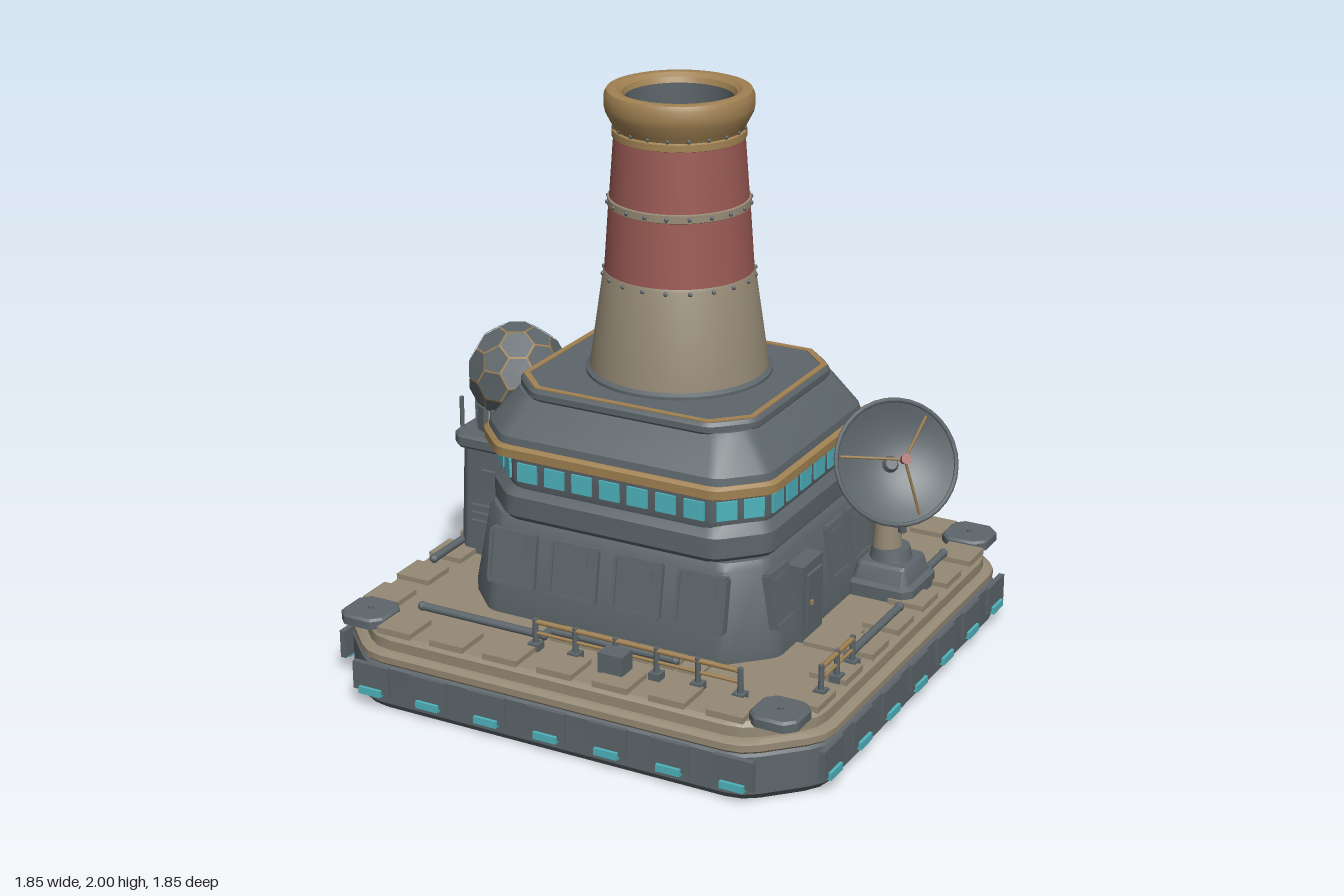
import * as THREE from 'three';
import { toCreasedNormals } from 'three/addons/utils/BufferGeometryUtils.js';

const mat = (name, color) => Object.assign(new THREE.MeshStandardMaterial({ color }), { name });

export function createModel() {
  const root = new THREE.Group();
  root.name = 'chimneyStation';
  const grey = mat('slateGrey', 0x5d666b), tan = mat('concreteTan', 0x968a75);
  const red = mat('fadedRed', 0x9b5a54), ochre = mat('ochreTrim', 0xa08152), cyan = mat('cyanGlass', 0x4fb4be);
  const dishGrey = mat('dishGrey', 0x5d666b);
  dishGrey.side = THREE.DoubleSide;

  const V = (x, y, z) => new THREE.Vector3(x, y, z);
  const add = (name, geo, m, x = 0, y = 0, z = 0, parent = root) => {
    const mesh = new THREE.Mesh(geo, m);
    mesh.name = name;
    mesh.position.set(x, y, z);
    parent.add(mesh);
    return mesh;
  };
  const box = (name, m, w, h, d, x, y, z, parent) => add(name, new THREE.BoxGeometry(w, h, d), m, x, y, z, parent);
  const cyl = (name, m, r0, r1, h, x, y, z, n = 16, parent = root) =>
    add(name, new THREE.CylinderGeometry(r1, r0, h, n), m, x, y + h / 2, z, parent);
  const lathe = (name, m, pts, n = 48) => add(name, toCreasedNormals(
    new THREE.LatheGeometry(pts.map(p => new THREE.Vector2(...p)), n), 0.5), m);
  // straight rod between two points
  const rod = (name, m, a, b, r, n = 8, parent = root) => {
    const d = b.clone().sub(a), mid = a.clone().add(b).multiplyScalar(0.5);
    const mesh = add(name, new THREE.CylinderGeometry(r, r, d.length(), n), m, mid.x, mid.y, mid.z, parent);
    mesh.quaternion.setFromUnitVectors(V(0, 1, 0), d.normalize());
    return mesh;
  };
  const pipe = (name, pts, r = 0.014) => {
    for (let i = 0; i + 1 < pts.length; i++) {
      rod(name, grey, V(...pts[i]), V(...pts[i + 1]), r, 10);
    }
    pts.forEach(p => add(name + 'Joint', new THREE.SphereGeometry(r * 1.15, 10, 6), grey, ...p));
  };

  // rectangle with cut, slightly softened corners
  const ring = (hx, hz, c, soft) => {
    const p = [[hx, -hz + c], [hx, hz - c], [hx - c, hz], [-hx + c, hz], [-hx, hz - c], [-hx, -hz + c], [-hx + c, -hz], [hx - c, -hz]]
      .map(q => new THREE.Vector2(...q));
    return p.flatMap((v, i) => {
      const a = p[(i + 7) % 8].clone().sub(v).setLength(soft).add(v);
      const b = p[(i + 1) % 8].clone().sub(v).setLength(soft).add(v);
      return [a, a.clone().add(b).multiplyScalar(0.25).addScaledVector(v, 0.5), b];
    });
  };
  // stacked rings: profile rows are [height, inset]
  const loft = (name, m, profile, hx, hz, c, x = 0, z = 0, soft = 0.03) => {
    const rows = profile.map(([y, d]) => ring(hx - d, hz - d, c - d * 0.586, soft).map(q => V(q.x, y, q.y)));
    const pos = [], tri = (...t) => t.forEach(v => pos.push(v.x, v.y, v.z));
    const last = rows.length - 1, n = rows[0].length;
    for (let i = 0; i < n; i++) {
      const j = (i + 1) % n;
      for (let k = 0; k < last; k++) {
        const [a, b, d, e] = [rows[k][i], rows[k][j], rows[k + 1][i], rows[k + 1][j]];
        tri(a, d, b);
        tri(b, d, e);
      }
      tri(V(0, profile[0][0], 0), rows[0][i], rows[0][j]);
      tri(V(0, profile[last][0], 0), rows[last][j], rows[last][i]);
    }
    const g = new THREE.BufferGeometry();
    g.setAttribute('position', new THREE.Float32BufferAttribute(pos, 3));
    return add(name, toCreasedNormals(g, 0.5), m, x, 0, z);
  };

  // platform
  loft('platformHull', grey, [[0, 0.02], [0.025, 0], [0.155, 0], [0.165, 0.012]], 0.9, 0.9, 0.2, 0, 0, 0.06);
  loft('platformRim', tan, [[0.163, 0.01], [0.172, 0.002], [0.195, 0.002], [0.205, 0.02]], 0.9, 0.9, 0.2, 0, 0, 0.06);
  loft('platformDeck', tan, [[0.2, 0.035], [0.24, 0.035], [0.255, 0.05]], 0.9, 0.9, 0.2, 0, 0, 0.06);
  for (let s = 0; s < 4; s++) {
    const side = new THREE.Group();
    side.name = 'platformSide';
    side.rotation.y = s * Math.PI / 2;
    root.add(side);
    for (let i = -3; i <= 3; i++) {
      box('hullBlock', grey, 0.14, 0.1, 0.02, i * 0.225, 0.108, 0.902, side);
      box('hullLight', cyan, 0.085, 0.025, 0.03, i * 0.225, 0.062, 0.908, side);
      box('deckPad', tan, 0.13, 0.022, 0.13, i * 0.205, 0.262, 0.79, side);
    }
  }
  for (const x of [-0.765, 0.765]) for (const z of [-0.765, 0.765]) {
    loft('cornerPlate', grey, [[0.25, 0], [0.278, 0], [0.286, 0.008]], 0.085, 0.085, 0.035, x, z, 0.005);
    cyl('cornerBolt', grey, 0.01, 0.01, 0.01, x, 0.284, z, 8);
  }

  // main building, bottom to top
  const bz = 0.025;
  loft('lowerWalls', grey, [[0.25, 0], [0.29, 0], [0.56, 0.045], [0.585, 0.06]], 0.58, 0.51, 0.14, 0, bz);
  loft('middleBand', grey, [[0.58, 0.02], [0.6, 0.003], [0.67, 0.003], [0.705, 0.03]], 0.53, 0.47, 0.14, 0, bz);
  loft('windowBand', grey, [[0.69, 0.01], [0.72, 0], [0.82, 0]], 0.51, 0.455, 0.14, 0, bz);
  loft('ochreLedge', ochre, [[0.812, 0.015], [0.82, 0], [0.85, 0], [0.86, 0.012]], 0.548, 0.495, 0.14, 0, bz);
  loft('upperSlope', grey, [[0.855, 0.015], [0.885, 0.02], [0.985, 0.1], [1, 0.115]], 0.548, 0.495, 0.14, 0, bz);
  loft('roofSlab', grey, [[0.99, 0.008], [1, 0], [1.02, 0], [1.032, 0.008]], 0.445, 0.395, 0.115, 0, bz);
  const trim = new THREE.Shape(ring(0.433, 0.383, 0.11, 0.004));
  trim.holes.push(new THREE.Path(ring(0.413, 0.363, 0.1, 0.004)));
  add('roofTrim', new THREE.ExtrudeGeometry(trim, { depth: 0.008, bevelEnabled: false }), ochre, 0, 1.036, bz)
    .rotation.x = Math.PI / 2;

  // strip windows on straight and cut walls
  for (let s = 0; s < 4; s++) {
    const g = new THREE.Group(), alongX = s % 2 === 0;
    g.name = 'windowRow';
    g.position.z = bz;
    g.rotation.y = s * Math.PI / 2;
    root.add(g);
    const off = alongX ? 0.455 : 0.51, n = alongX ? 7 : 6;
    for (let i = 0; i < n; i++) box('window', cyan, 0.074, 0.065, 0.009, (i - (n - 1) / 2) * 0.104, 0.758, off + 0.003, g);
    const c = new THREE.Group();
    c.name = 'cornerWindows';
    c.position.set((s < 2 ? 1 : -1) * 0.44, 0.758, bz + (s % 3 === 0 ? 1 : -1) * 0.385);
    c.rotation.y = Math.PI / 4 + s * Math.PI / 2;
    root.add(c);
    for (const x of [-0.046, 0.046]) box('window', cyan, 0.07, 0.065, 0.009, x, 0, 0.003, c);
  }

  // wall panels, leaning with the walls
  const panel = (w, h, parent, x, y, z, ry) => {
    const g = new THREE.Group();
    g.name = 'wallPanel';
    g.position.set(x, y, z);
    g.rotation.set(-0.16, ry, 0, 'YXZ');
    parent.add(g);
    box('panelPlate', grey, w, h, 0.016, 0, 0, 0, g);
    for (const s of [-1, 1]) {
      box('panelFrame', grey, 0.012, h, 0.03, s * w / 2, 0, 0, g);
      box('panelFrame', grey, w, 0.012, 0.03, 0, s * h / 2, 0, g);
    }
    box('panelHatch', grey, w * 0.6, h * 0.22, 0.026, 0, h * 0.27, 0, g);
  };
  [-0.355, -0.12, 0.12, 0.355].forEach(x => panel(0.17, 0.18, root, x, 0.455, 0.51, 0));
  [0.35, -0.08, -0.25].forEach(z => panel(0.13, 0.18, root, 0.555, 0.455, z, Math.PI / 2));
  box('sideDoorFrame', grey, 0.08, 0.27, 0.15, 0.56, 0.39, 0.19);
  box('sideDoor', grey, 0.012, 0.2, 0.105, 0.604, 0.39, 0.19);
  box('doorHandle', ochre, 0.012, 0.015, 0.012, 0.613, 0.39, 0.225);
  box('sideStep', tan, 0.14, 0.018, 0.18, 0.68, 0.262, 0.19);
  for (let i = 0; i < 6; i++) box('frontGrate', tan, 0.085, 0.014, 0.1, -0.1 + i * 0.095, 0.26, 0.59);

  // chimney
  lathe('chimneyFoot', grey, [[0.315, 1.03], [0.315, 1.042], [0.3, 1.052]]);
  lathe('chimneyBase', tan, [[0.302, 1.04], [0.3, 1.06], [0.254, 1.38], [0.25, 1.39]]);
  lathe('lowerRedBand', red, [[0.25, 1.385], [0.234, 1.615]]);
  lathe('joiningBand', tan, [[0.234, 1.607], [0.239, 1.61], [0.238, 1.635], [0.23, 1.638]]);
  lathe('upperRedBand', red, [[0.232, 1.63], [0.216, 1.845]]);
  lathe('chimneyCollar', ochre, [[0.215, 1.84], [0.222, 1.843], [0.221, 1.865], [0.21, 1.872]]);
  lathe('chimneyMouth', ochre, [[0.212, 1.865], [0.222, 1.885], [0.243, 1.925], [0.247, 1.945], [0.246, 1.98], [0.238, 1.996],
    [0.225, 2], [0.205, 1.998], [0.188, 1.985], [0.18, 1.965]]);
  lathe('chimneyInside', grey, [[0.18, 1.967], [0.18, 1.2], [0, 1.2]]);
  for (const [y, r] of [[1.375, 0.256], [1.622, 0.239], [1.875, 0.216]]) for (let i = 0; i < 20; i++) {
    const a = i / 20 * Math.PI * 2;
    add('chimneyBolt', new THREE.SphereGeometry(0.008, 6, 4), grey, Math.cos(a) * r, y, Math.sin(a) * r);
  }

  // radome tower
  loft('radomeTower', grey, [[0.25, 0], [0.66, 0.015]], 0.155, 0.17, 0.04, -0.65, 0, 0.01);
  loft('towerCap', grey, [[0.65, 0.008], [0.66, 0], [0.69, 0], [0.7, 0.01]], 0.16, 0.175, 0.04, -0.66, 0, 0.01);
  cyl('radomeSeat', tan, 0.13, 0.13, 0.05, -0.64, 0.695, 0, 24);
  for (let i = 0; i < 12; i++) {
    const a = i / 12 * Math.PI * 2;
    box('radomeCradlePost', grey, 0.045, 0.09, 0.02, -0.64 + Math.sin(a) * 0.14, 0.755, Math.cos(a) * 0.14).rotation.y = a;
  }
  box('towerHatch', grey, 0.11, 0.07, 0.015, -0.64, 0.545, 0.165);
  for (let i = 0; i < 3; i++) box('towerLouver', grey, 0.11, 0.012, 0.02, -0.68, 0.38 + i * 0.03, 0.168);
  rod('towerRail', grey, V(-0.81, 0.69, 0.1), V(-0.81, 0.81, 0.1), 0.008);

  // radome: panels are the dual faces of a subdivided icosahedron
  const ico = new THREE.IcosahedronGeometry(1, 1).getAttribute('position');
  const cells = new Map();
  for (let i = 0; i < ico.count; i += 3) {
    const t = [0, 1, 2].map(k => new THREE.Vector3().fromBufferAttribute(ico, i + k));
    const mid = t[0].clone().add(t[1]).add(t[2]).normalize();
    t.forEach(v => {
      const key = v.toArray().map(q => Math.round(q * 1000) + 0).join();
      if (!cells.has(key)) cells.set(key, { v, ring: [] });
      cells.get(key).ring.push(mid);
    });
  }
  const shell = (name, m, r, shrink) => {
    const pos = [];
    for (const { v, ring: pts } of cells.values()) {
      const u = V(0.31, 0.87, 0.38).cross(v).normalize(), w = v.clone().cross(u);
      const angle = p => Math.atan2(p.dot(w), p.dot(u));
      const centre = pts.reduce((s, p) => s.add(p), V(0, 0, 0)).divideScalar(pts.length);
      const edge = [...pts].sort((a, b) => angle(a) - angle(b)).map(p => p.clone().lerp(centre, shrink));
      edge.forEach((p, i) => [centre, p, edge[(i + 1) % edge.length]].forEach(q => pos.push(q.x * r, q.y * r, q.z * r)));
    }
    const g = new THREE.BufferGeometry();
    g.setAttribute('position', new THREE.Float32BufferAttribute(pos, 3));
    g.computeVertexNormals();
    add(name, g, m, -0.64, 0.9, 0);
  };
  shell('radomeSeams', ochre, 0.174, 0);
  shell('radomePanels', grey, 0.178, 0.07);

  // dish antenna
  loft('dishFooting', grey, [[0.25, 0], [0.3, 0], [0.31, 0.02], [0.36, 0.035], [0.37, 0.045]], 0.125, 0.125, 0.03, 0.675, -0.275, 0.008);
  cyl('dishTurntable', grey, 0.075, 0.065, 0.045, 0.675, 0.365, -0.275, 20);
  cyl('dishPedestal', tan, 0.052, 0.04, 0.155, 0.66, 0.405, -0.275, 20);
  rod('dishArm', grey, V(0.66, 0.5, -0.275), V(0.685, 0.73, -0.225), 0.022, 12);
  rod('dishCounterweight', grey, V(0.725, 0.48, -0.25), V(0.725, 0.6, -0.23), 0.015, 10);
  const dish = new THREE.Group();
  dish.name = 'dish';
  dish.position.set(0.685, 0.73, -0.22);
  dish.quaternion.setFromUnitVectors(V(0, 1, 0), V(0.6, 0.46, 0.65).normalize());
  root.add(dish);
  const bowl = Array.from({ length: 8 }, (_, i) => new THREE.Vector2(i * 0.03, 0.072 * (i / 7) ** 2));
  add('dishBowl', new THREE.LatheGeometry(bowl, 32), dishGrey, 0, 0, 0, dish);
  add('dishRim', new THREE.TorusGeometry(0.21, 0.008, 6, 32), grey, 0, 0.072, 0, dish).rotation.x = Math.PI / 2;
  for (let i = 0; i < 3; i++) {
    const a = i / 3 * Math.PI * 2 + 0.5;
    rod('feedStrut', ochre, V(Math.cos(a) * 0.19, 0.062, Math.sin(a) * 0.19), V(0, 0.165, 0), 0.005, 6, dish);
  }
  cyl('dishHub', grey, 0.03, 0.02, 0.02, 0, 0, 0, 12, dish);
  cyl('dishFeed', red, 0.014, 0.018, 0.035, 0, 0.15, 0, 10, dish);

  // rear machine house
  loft('machineHouse', grey, [[0.25, 0], [0.59, 0.008]], 0.15, 0.12, 0.03, 0.34, -0.53, 0.008);
  loft('machineRoof', grey, [[0.58, 0.006], [0.588, 0], [0.615, 0], [0.622, 0.008]], 0.163, 0.13, 0.03, 0.342, -0.54, 0.008);
  box('machineWindow', cyan, 0.24, 0.06, 0.02, 0.34, 0.505, -0.65);
  [red, grey, grey].forEach((m, i) => {
    const x = 0.25 + i * 0.092;
    cyl('ventStub', grey, 0.03, 0.026, 0.055, x, 0.62, -0.545, 14);
    add('ventDome', new THREE.SphereGeometry(0.026, 14, 8), m, x, 0.678, -0.545);
  });
  cyl('downPipe', grey, 0.025, 0.025, 0.32, 0.525, 0.25, -0.57, 12);
  rod('sidePipe', tan, V(0.48, 0.565, -0.57), V(0.575, 0.565, -0.57), 0.014);

  // deck pipes
  pipe('frontPipe', [[-0.62, 0.285, 0.67], [-0.145, 0.285, 0.67], [-0.145, 0.285, 0.625], [0.32, 0.285, 0.625]]);
  pipe('backPipe', [[-0.62, 0.285, -0.685], [-0.145, 0.285, -0.685], [-0.145, 0.285, -0.635], [0.2, 0.285, -0.635]]);
  pipe('rightPipe', [[0.755, 0.285, -0.55], [0.755, 0.285, -0.37]]);
  pipe('rightPipe', [[0.795, 0.285, -0.08], [0.795, 0.285, 0.33]]);
  pipe('leftPipe', [[-0.76, 0.285, -0.55], [-0.76, 0.285, -0.16]]);
  pipe('leftPipe', [[-0.795, 0.285, 0], [-0.795, 0.285, 0.33]]);
  pipe('leftRiser', [[-0.77, 0.285, -0.465], [-0.61, 0.285, -0.465], [-0.61, 0.42, -0.465], [-0.54, 0.42, -0.42]], 0.016);

  // railings
  const railing = (x0, z0, x1, z1, n) => {
    for (const [y, r] of [[0.355, 0.009], [0.315, 0.006]]) rod('handrail', ochre, V(x0, y, z0), V(x1, y, z1), r);
    for (let i = 0; i <= n; i++) {
      const x = x0 + (x1 - x0) * i / n, z = z0 + (z1 - z0) * i / n;
      cyl('railPost', grey, 0.01, 0.01, 0.115, x, 0.25, z, 8);
      box('railFoot', grey, 0.04, 0.025, 0.04, x, 0.268, z);
    }
  };
  railing(-0.15, 0.715, 0.6, 0.715, 5);
  railing(-0.25, -0.72, 0.11, -0.72, 3);
  railing(-0.82, -0.59, -0.82, -0.26, 3);
  railing(0.815, 0.34, 0.815, 0.575, 2);
  box('controlBox', grey, 0.09, 0.07, 0.07, 0.17, 0.305, 0.755);

  return root;
}
